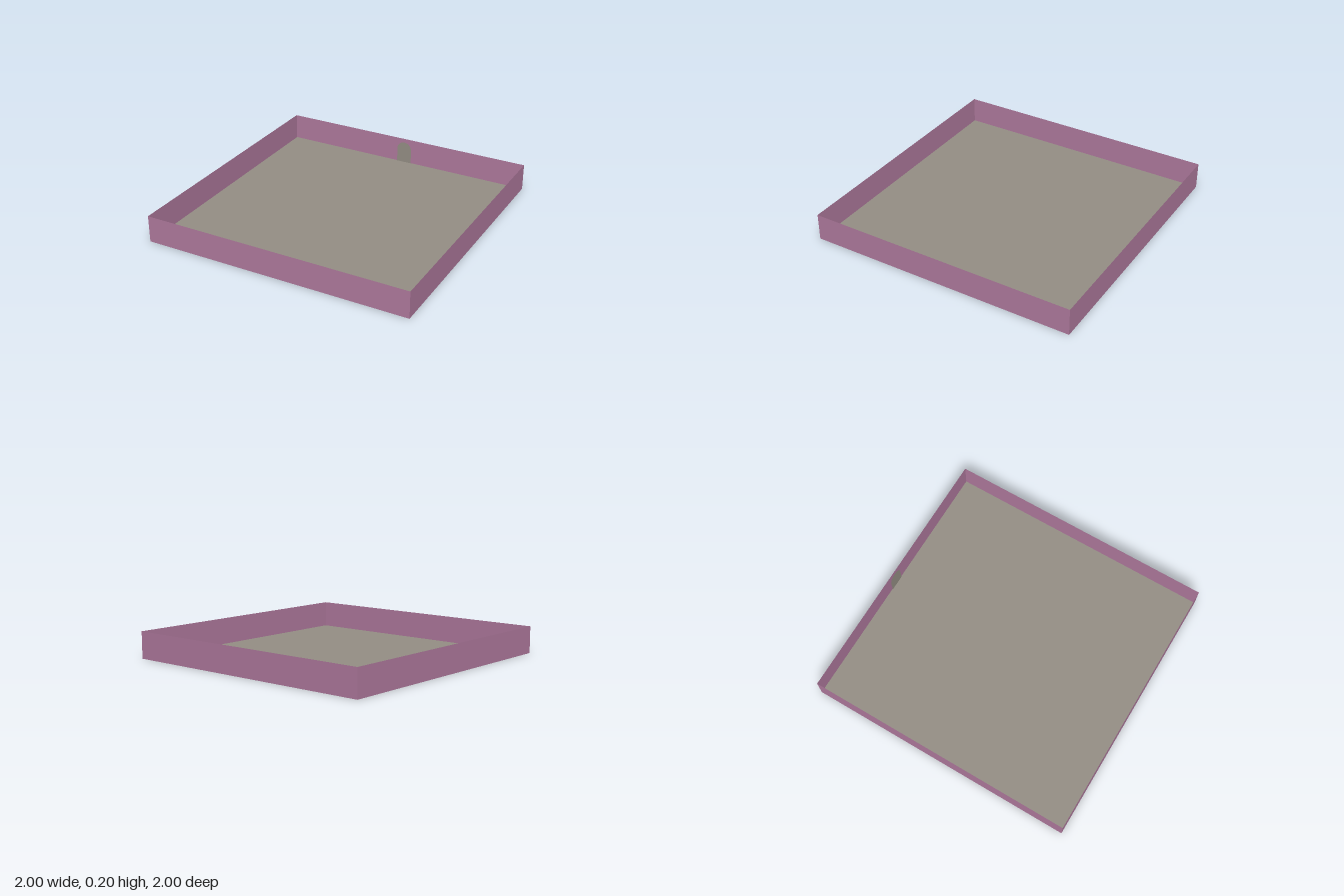
import * as THREE from 'three';

const SIZE = 2;
const HEIGHT = 0.2;

export function createModel() {
  const room = new THREE.Group();
  room.name = 'openRoom';

  const wallPaint = new THREE.MeshStandardMaterial({ color: 0xb07a9e, side: THREE.DoubleSide });
  wallPaint.name = 'mauve wall';
  const stone = new THREE.MeshStandardMaterial({ color: 0x958f85, side: THREE.DoubleSide });
  stone.name = 'warm grey';

  // Floor sheet
  const floor = new THREE.Mesh(new THREE.PlaneGeometry(SIZE, SIZE).rotateX(-Math.PI / 2), stone);
  floor.name = 'floor';
  room.add(floor);

  // Four thin walls around the floor
  ['frontWall', 'leftWall', 'backWall', 'rightWall'].forEach((name, i) => {
    const geometry = new THREE.PlaneGeometry(SIZE, HEIGHT)
      .translate(0, HEIGHT / 2, SIZE / 2)
      .rotateY((i * Math.PI) / 2);
    const wall = new THREE.Mesh(geometry, wallPaint);
    wall.name = name;
    room.add(wall);
  });

  // Small arched door on the inside of the back wall
  const r = 0.06, spring = 0.11;
  const arch = new THREE.Shape();
  arch.moveTo(-r, 0);
  arch.lineTo(r, 0);
  arch.lineTo(r, spring);
  arch.absarc(0, spring, r, 0, Math.PI, false);
  arch.closePath();
  const door = new THREE.Mesh(new THREE.ShapeGeometry(arch, 12), stone);
  door.name = 'archedDoor';
  door.position.z = -SIZE / 2 + 0.004;
  room.add(door);

  return room;
}
